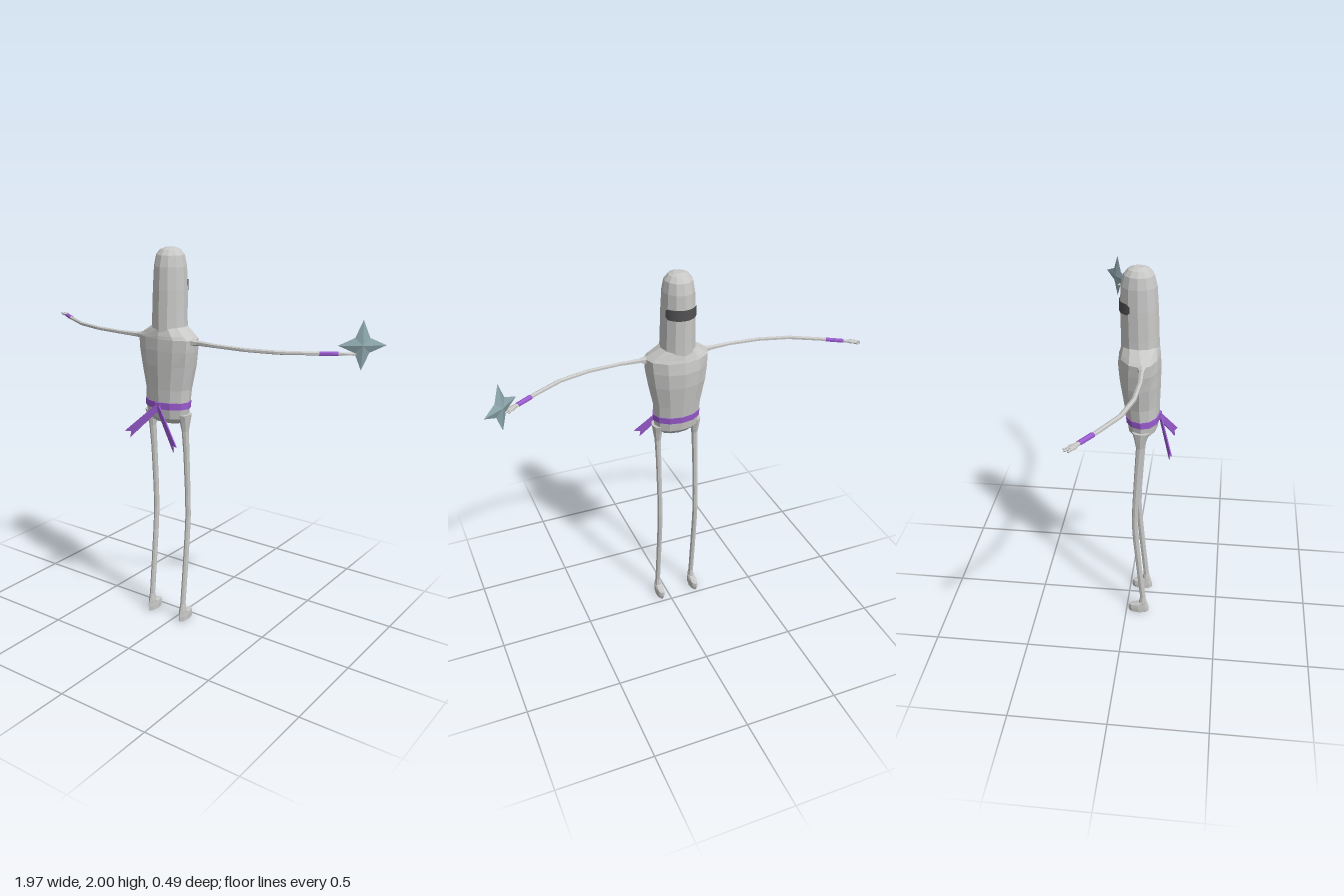
import * as THREE from 'three';

const AXIS_X = -0.055; // the body stands slightly off centre because of the held star
const UP = new THREE.Vector3(0, 1, 0);

// Skin closed rings of equal point count, with fan caps at both ends
function loft(rings) {
  const n = rings[0].length, pos = [], idx = [];
  rings.forEach(r => r.forEach(p => pos.push(p.x, p.y, p.z)));
  for (let i = 0; i < rings.length - 1; i++) for (let j = 0; j < n; j++) {
    const k = (j + 1) % n, a = i * n + j, b = i * n + k;
    idx.push(a, b, b + n, a, b + n, a + n);
  }
  const last = (rings.length - 1) * n;
  for (let j = 1; j < n - 1; j++) idx.push(0, j + 1, j, last, last + j, last + j + 1);
  const g = new THREE.BufferGeometry();
  g.setAttribute('position', new THREE.Float32BufferAttribute(pos, 3));
  g.setIndex(idx);
  const flat = g.toNonIndexed();
  flat.computeVertexNormals();
  return flat;
}

// Upright form from rows [y, half width, z front, z back, z of widest point]
function upright(rows, sides, x = 0) {
  return loft(rows.map(([y, hw, zf, zb, zw = (zf + zb) / 2]) =>
    Array.from({ length: sides }, (_, j) => {
      const a = (j / sides) * Math.PI * 2, c = Math.cos(a);
      return new THREE.Vector3(x + hw * Math.sin(a), y, zw + c * (c > 0 ? zb - zw : zw - zf));
    })));
}

// Limb along a curve from rows [t, half height, half width]
function limb(curve, rows, sides = 6) {
  return loft(rows.map(([t, h, w]) => {
    const c = curve.getPointAt(t);
    const side = curve.getTangentAt(t).cross(UP).normalize();
    return Array.from({ length: sides }, (_, j) => {
      const a = (j / sides) * Math.PI * 2;
      return c.clone().addScaledVector(UP, h * Math.cos(a)).addScaledVector(side, w * Math.sin(a));
    });
  }));
}

export function createModel() {
  const model = new THREE.Group();
  const body = new THREE.Group();
  body.name = 'figure';
  body.position.x = AXIS_X;
  model.add(body);

  const material = (name, color) => {
    const m = new THREE.MeshStandardMaterial({ color, flatShading: true, side: THREE.DoubleSide });
    m.name = name;
    return m;
  };
  const grey = material('light grey', 0xc8c9c7);
  const purple = material('purple', 0x9a5cd0);
  const dark = material('dark grey', 0x525254);
  const steel = material('blue steel', 0x8fa9af);
  const add = (name, geometry, mat, parent = body) => {
    const m = new THREE.Mesh(geometry, mat);
    m.name = name;
    parent.add(m);
    return m;
  };

  // Torso, head and belt
  add('torso', upright([
    [1.12, 0.085, 0.03, 0.12], [1.15, 0.118, 0.0, 0.15], [1.2, 0.124, -0.008, 0.158],
    [1.3, 0.13, -0.025, 0.16], [1.42, 0.155, -0.045, 0.163, 0.07], [1.5, 0.166, -0.052, 0.163, 0.08],
    [1.56, 0.17, -0.045, 0.16, 0.08], [1.575, 0.15, -0.04, 0.158, 0.075], [1.615, 0.09, -0.03, 0.15],
  ], 12), grey);
  add('head', upright([
    [1.57, 0.092, -0.035, 0.155], [1.65, 0.088, -0.036, 0.152], [1.8, 0.085, -0.04, 0.146],
    [1.91, 0.08, -0.037, 0.138], [1.965, 0.07, -0.024, 0.124], [1.99, 0.05, -0.002, 0.103],
    [2.0, 0.025, 0.025, 0.075],
  ], 12), grey);
  add('belt', upright([[1.2, 0.128, -0.013, 0.163], [1.235, 0.13, -0.018, 0.164]], 12), purple);

  // Eye band: a thin patch curved round the face, narrowed at its ends
  const band = new THREE.PlaneGeometry(2, 1, 14, 1);
  const p = band.attributes.position;
  for (let i = 0; i < p.count; i++) {
    const u = p.getX(i), a = Math.PI + u * 1.15;
    const h = 0.055 * (Math.abs(u) > 0.95 ? 0.6 : 1);
    p.setXYZ(i, 0.088 * Math.sin(a), 1.812 + p.getY(i) * h, 0.053 + 0.097 * Math.cos(a));
  }
  band.computeVertexNormals();
  add('eyeBand', band, dark);

  for (const s of [1, -1]) {
    const side = s > 0 ? 'left' : 'right';

    // Leg and foot in one form
    add(side + 'Leg', upright([
      [0, 0.021, 0.016, 0.125], [0.025, 0.022, 0.01, 0.126], [0.045, 0.021, 0.014, 0.123],
      [0.062, 0.018, 0.07, 0.117], [0.1, 0.014, 0.077, 0.108], [0.3, 0.014, 0.056, 0.087],
      [0.5, 0.014, 0.036, 0.068], [0.6, 0.014, 0.03, 0.061], [0.72, 0.014, 0.032, 0.064],
      [0.95, 0.015, 0.043, 0.078], [1.08, 0.017, 0.05, 0.092], [1.13, 0.025, 0.04, 0.105],
      [1.17, 0.03, 0.03, 0.12],
    ], 8, s * 0.105), grey);

    // Arm sweeping forward, with a wrist band
    const path = new THREE.CatmullRomCurve3([
      [0.14, 0.08], [0.25, 0.087], [0.395, 0.085], [0.565, 0.055], [0.685, 0.0], [0.805, -0.075], [0.89, -0.128],
    ].map(([x, z]) => new THREE.Vector3(s * x, 1.55, z)));
    add(side + 'Arm', limb(path, [
      [0, 0.024, 0.03], [0.06, 0.013, 0.014], [0.2, 0.01, 0.011], [0.4, 0.01, 0.012],
      [0.6, 0.01, 0.012], [0.8, 0.009, 0.012], [0.95, 0.008, 0.011], [1, 0.007, 0.016],
    ]), grey);
    add(side + 'WristBand', limb(path, [[0.84, 0.011, 0.014], [0.95, 0.01, 0.014]]), purple);

    // Palm and fingers
    const line = (a, b) => new THREE.LineCurve3(
      new THREE.Vector3(s * a[0], 1.55, a[1]), new THREE.Vector3(s * b[0], 1.55, b[1]));
    add(side + 'Palm', limb(line([0.87, -0.115], [0.908, -0.14]),
      [[0, 0.007, 0.012], [0.5, 0.008, 0.021], [1, 0.006, 0.018]]), grey);
    [[[0.895, -0.143], [0.908, -0.165]], [[0.9, -0.137], [0.925, -0.157]], [[0.906, -0.128], [0.932, -0.14]]]
      .forEach(([a, b], i) => add(side + 'Finger' + (i + 1),
        limb(line(a, b), [[0, 0.006, 0.007], [1, 0.004, 0.004]], 5), grey));

    // Sash tail with a notched end, hanging out behind the belt
    const [du, dy] = s > 0 ? [0.18, -0.175] : [0.165, -0.15];
    const tail = new THREE.Shape([
      [0, 0.022], [du + 0.012, dy + 0.012], [du - 0.022, dy + 0.012], [du - 0.016, dy - 0.022], [-0.005, -0.018],
    ].map(([x, y]) => new THREE.Vector2(s * x, y)));
    const t = add(side + 'SashTail',
      new THREE.ExtrudeGeometry(tail, { depth: 0.006, bevelEnabled: false }), purple);
    t.position.set(0, 1.212, 0.16);
    t.rotation.y = -s * 0.42;
  }
  add('sashKnot', new THREE.BoxGeometry(0.03, 0.035, 0.012), purple).position.set(0, 1.217, 0.163);

  // Four-pointed throwing star: a rim of points and notches raised to a central ridge
  const rim = Array.from({ length: 8 }, (_, i) => {
    const a = (i / 8) * Math.PI * 2, r = i % 2 ? 0.05 : i % 4 ? 0.12 : 0.115;
    return [r * Math.cos(a), r * Math.sin(a), 0];
  });
  const faces = [];
  rim.forEach((a, i) => {
    const b = rim[(i + 1) % 8];
    faces.push(...a, ...b, 0, 0, 0.016, ...b, ...a, 0, 0, -0.016);
  });
  const starGeo = new THREE.BufferGeometry();
  starGeo.setAttribute('position', new THREE.Float32BufferAttribute(faces, 3));
  starGeo.computeVertexNormals();
  const star = add('throwingStar', starGeo, steel, model);
  star.position.set(0.89, 1.59, -0.17);
  star.rotation.y = 0.68;

  return model;
}
